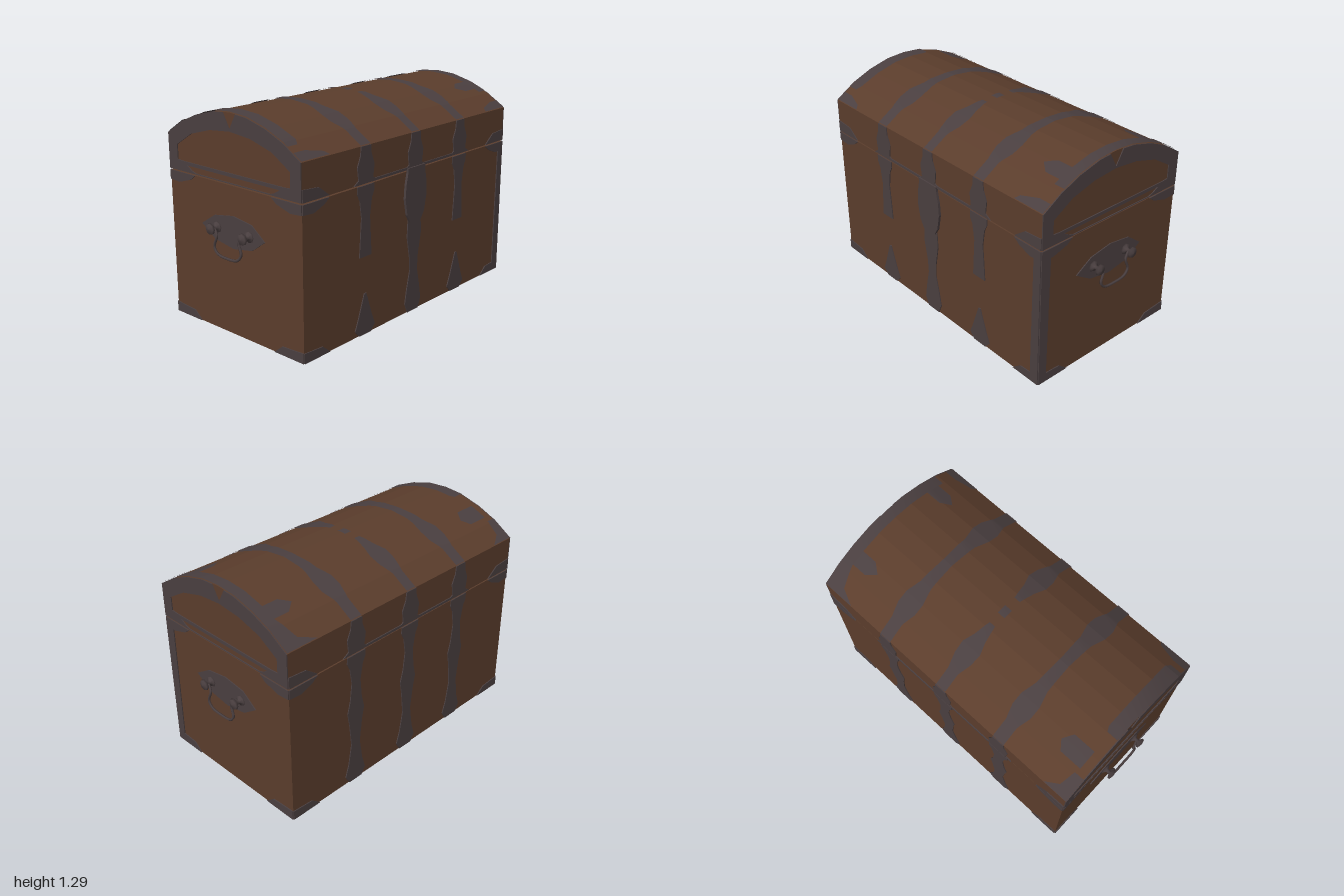
import * as THREE from 'three';

const W = 0.525, D = 0.93, SEAM = 0.88, T = 0.006;

const wood = new THREE.MeshStandardMaterial({ color: 0x5b3d2c });
wood.name = 'brownWood';
const iron = new THREE.MeshStandardMaterial({ color: 0x4a3f40, side: THREE.DoubleSide });
iron.name = 'darkIron';

// Arched top of the lid, left to right
const ARCH = [[-W, 1.1], [-0.4, 1.18], [-0.27, 1.235], [-0.13, 1.272], [0, 1.282],
  [0.13, 1.272], [0.27, 1.235], [0.4, 1.18], [W, 1.1]];

function lerpTable(table, x, column) {
  for (let i = 1; i < table.length; i++) {
    const a = table[i - 1], b = table[i];
    if (x <= b[0] + 1e-6) return a[column] + (b[column] - a[column]) * (x - a[0]) / (b[0] - a[0]);
  }
  return table[table.length - 1][column];
}

const toShape = (pts) => new THREE.Shape(pts.map(([x, y]) => new THREE.Vector2(x, y)));
const extrude = (shape, depth) => new THREE.ExtrudeGeometry(shape, { depth, bevelEnabled: false });
const flip = (pts) => pts.map(([u, v]) => [-u, v]);

function addMesh(parent, name, geometry, material) {
  const mesh = new THREE.Mesh(geometry, material);
  mesh.name = name;
  parent.add(mesh);
  return mesh;
}

// Group whose local xy plane lies on one wall, with +z pointing outwards
function wall(parent, name, angle, distance) {
  const g = new THREE.Group();
  g.name = name;
  g.rotation.y = angle;
  g.position.set(Math.sin(angle) * distance, 0, Math.cos(angle) * distance);
  parent.add(g);
  return g;
}

const plate = (parent, name, pts, depth = T) => addMesh(parent, name, extrude(toShape(pts), depth), iron);

// Upright strap from rows of [height, half width]
function strap(parent, name, u, rows, depth) {
  const right = rows.map(([y, h]) => [u + h, y]);
  const left = rows.map(([y, h]) => [u - h, y]).reverse();
  plate(parent, name, [...right, ...left], depth);
}

// Band lying on the arch, from rows of [x, zMin, zMax]
function archBand(parent, name, rows) {
  const x0 = rows[0][0], x1 = rows[rows.length - 1][0];
  const xs = [...rows, ...ARCH].map((r) => r[0]).filter((x) => x >= x0 && x <= x1).sort((a, b) => a - b);
  const pos = [], index = [];
  xs.forEach((x, i) => {
    const y = lerpTable(ARCH, x, 1) + T;
    pos.push(x, y, lerpTable(rows, x, 1), x, y, lerpTable(rows, x, 2));
    if (i) index.push(2 * i - 2, 2 * i - 1, 2 * i, 2 * i, 2 * i - 1, 2 * i + 1);
  });
  const geometry = new THREE.BufferGeometry();
  geometry.setAttribute('position', new THREE.Float32BufferAttribute(pos, 3));
  geometry.setIndex(index);
  geometry.computeVertexNormals();
  addMesh(parent, name, geometry, iron);
}

// Corner fittings at the foot and on both sides of the seam
function corners(parent, half, reach) {
  const r = half - reach;
  for (const m of [(p) => p, flip]) {
    plate(parent, 'footCorner', m([[half, 0], [half, 0.06], [r + 0.06, 0.05], [r, 0]]));
    plate(parent, 'bodyTopCorner', m([[half, SEAM], [r, SEAM], [r + 0.04, 0.85], [half - 0.08, 0.82], [half, 0.825]]));
    plate(parent, 'lidCorner', m([[half, 0.89], [half, 0.96], [half - 0.12, 0.95], [r, 0.89]]));
  }
}

// Iron on a short end: arch frame, corners, and drop handle
function buildEnd(g) {
  corners(g, W, 0.22);
  const frame = toShape([[-W, 0.89], [W, 0.89], ...ARCH.slice(5).reverse(),
    [0.05, 1.278], [0, 1.19], [-0.05, 1.278], ...ARCH.slice(0, 4).reverse()]);
  frame.holes.push(new THREE.Path([[-0.45, 0.95], [-0.45, 1.04], [-0.32, 1.12], [-0.16, 1.165], [0, 1.18],
    [0.16, 1.165], [0.32, 1.12], [0.45, 1.04], [0.45, 0.95]].map((p) => new THREE.Vector2(...p))));
  frame.holes.push(new THREE.Path([[-0.3, 0.895], [0.3, 0.895], [0.4, 0.93], [-0.4, 0.93]]
    .map((p) => new THREE.Vector2(...p))));
  addMesh(g, 'lidEndFrame', extrude(frame, T), iron);

  plate(g, 'handlePlate', [[-0.26, 0.615], [-0.15, 0.685], [0, 0.71], [0.15, 0.69], [0.25, 0.615],
    [0.15, 0.545], [0, 0.52], [-0.15, 0.545]]);
  const knob = [[0.001, 0], [0.038, 0], [0.03, 0.012], [0.012, 0.022], [0.012, 0.042], [0.034, 0.052], [0.03, 0.064], [0.001, 0.07]];
  for (const x of [-0.13, 0.13]) {
    const k = addMesh(g, 'handleKnob', new THREE.LatheGeometry(knob.map((p) => new THREE.Vector2(...p)), 8), iron);
    k.rotation.x = Math.PI / 2;
    k.position.set(x, 0.62, 0);
  }
  const path = new THREE.CatmullRomCurve3([[-0.12, 0.62, 0.035], [-0.09, 0.59, 0.045], [-0.11, 0.52, 0.05], [-0.08, 0.485, 0.052],
    [0, 0.475, 0.052], [0.08, 0.485, 0.052], [0.11, 0.52, 0.05], [0.09, 0.59, 0.045], [0.12, 0.62, 0.035]]
    .map((p) => new THREE.Vector3(...p)));
  addMesh(g, 'dropHandle', new THREE.TubeGeometry(path, 24, 0.008, 5), iron);
}

// Straps on the lid's upright wall
function lidStraps(g) {
  for (const u of [-0.44, 0, 0.44]) {
    strap(g, 'lidStrap', u, [[0.89, 0.1], [0.915, 0.06], [0.99, 0.07], [1.05, 0.045], [1.1, 0.04]]);
  }
  plate(g, 'lidRim', [[-0.46, 0.89], [0.46, 0.89], [0.42, 0.905], [-0.42, 0.905]]);
}

export function createModel() {
  const root = new THREE.Group();
  root.name = 'chest';
  const chest = new THREE.Group();
  chest.name = 'chestParts';
  chest.position.x = -0.005;
  root.add(chest);

  // Wooden body and lid
  const body = addMesh(chest, 'body', new THREE.BoxGeometry(2 * W, SEAM, 2 * D), wood);
  body.position.y = SEAM / 2;
  const lid = addMesh(chest, 'lid', extrude(toShape([[-W, 0.888], [W, 0.888], ...[...ARCH].reverse()]), 2 * D), wood);
  lid.position.z = -D;

  // Short ends
  const front = wall(chest, 'frontEnd', 0, D);
  const back = wall(chest, 'backEnd', Math.PI, D);
  buildEnd(front);
  buildEnd(back);

  // Lock side
  const lockSide = wall(chest, 'lockSide', Math.PI / 2, W);
  corners(lockSide, D, 0.2);
  lidStraps(lockSide);
  for (const u of [-0.44, 0.44]) {
    strap(lockSide, 'bodyStrap', u, [[0.47, 0.05], [0.55, 0.045], [0.7, 0.035], [0.8, 0.05], [0.84, 0.07], [SEAM, 0.07]]);
    strap(lockSide, 'footStrap', u, [[0, 0.05], [0.04, 0.085], [0.1, 0.06], [0.25, 0.008]]);
  }
  strap(lockSide, 'lockStrap', 0, [[0, 0.05], [0.06, 0.075], [0.15, 0.06], [0.26, 0.035], [0.35, 0.04], [0.48, 0.065], [0.58, 0.06]]);
  strap(lockSide, 'lockPlate', 0, [[0.57, 0.05], [0.62, 0.08], [0.72, 0.1], [0.8, 0.095], [0.87, 0.08], [0.9, 0.08]], 0.015);

  // Hinge side
  const hingeSide = wall(chest, 'hingeSide', -Math.PI / 2, W);
  corners(hingeSide, D, 0.2);
  lidStraps(hingeSide);
  for (const u of [-0.44, 0, 0.44]) {
    strap(hingeSide, 'hingeStrap', u, [[0, 0.05], [0.05, 0.08], [0.13, 0.055], [0.27, 0.033], [0.42, 0.05], [0.5, 0.065],
      [0.58, 0.045], [0.7, 0.033], [0.8, 0.05], [0.84, 0.07], [SEAM, 0.07]]);
  }

  // Upright strip round the back corner on the lock side
  plate(lockSide, 'cornerStrip', [[0.87, 0], [D, 0], [D, SEAM], [0.88, SEAM]]);
  plate(back, 'cornerStrip', [[-W, 0], [-0.47, 0], [-0.46, SEAM], [-W, SEAM]]);

  // Bands over the arch
  for (const z of [-0.44, 0.44]) {
    archBand(chest, 'archBand', [[-W, 0.04], [-0.42, 0.04], [-0.34, 0.065], [-0.27, 0.065], [-0.18, 0.04], [0, 0.032],
      [0.18, 0.04], [0.27, 0.065], [0.34, 0.065], [0.42, 0.04], [W, 0.04]].map(([x, h]) => [x, z - h, z + h]));
  }
  const middle = [[0.1, 0.02], [0.2, 0.04], [0.27, 0.065], [0.34, 0.06], [0.42, 0.035], [W, 0.035]];
  archBand(chest, 'middleBand', middle.map(([x, h]) => [x, -h, h]));
  archBand(chest, 'middleBand', middle.map(([x, h]) => [-x, -h, h]).reverse());
  archBand(chest, 'middleStud', [[-0.03, -0.025, 0.025], [0.03, -0.025, 0.025]]);

  // Bands, corners and tongues along the two ends of the arch
  archBand(chest, 'frontEdgeBand', [[-0.13, 0.86, D], [-0.1, 0.845, D], [0.4, 0.84, D], [0.43, 0.86, D]]);
  archBand(chest, 'backEdgeBand', [[-0.36, -D, -0.86], [0.38, -D, -0.86]]);
  archBand(chest, 'frontLeftCorner', [[0.47, 0.85, D], [0.5, 0.74, D], [W, 0.72, D]]);
  archBand(chest, 'frontRightCorner', [[-W, 0.77, D], [-0.48, 0.85, D], [-0.39, 0.87, D]]);
  archBand(chest, 'backLeftCorner', [[0.47, -D, -0.85], [0.5, -D, -0.74], [W, -D, -0.72]]);
  archBand(chest, 'backRightCorner', [[-W, -D, -0.72], [-0.48, -D, -0.82], [-0.36, -D, -0.86]]);
  archBand(chest, 'frontTongue', [[-0.36, 0.74, 0.88], [-0.31, 0.7, 0.88], [-0.25, 0.74, 0.88]]);
  for (const x of [-0.31, 0.3]) {
    archBand(chest, 'backTongue', [[x - 0.045, -0.86, -0.76], [x, -0.86, -0.7], [x + 0.045, -0.86, -0.76]]);
  }
  return root;
}
